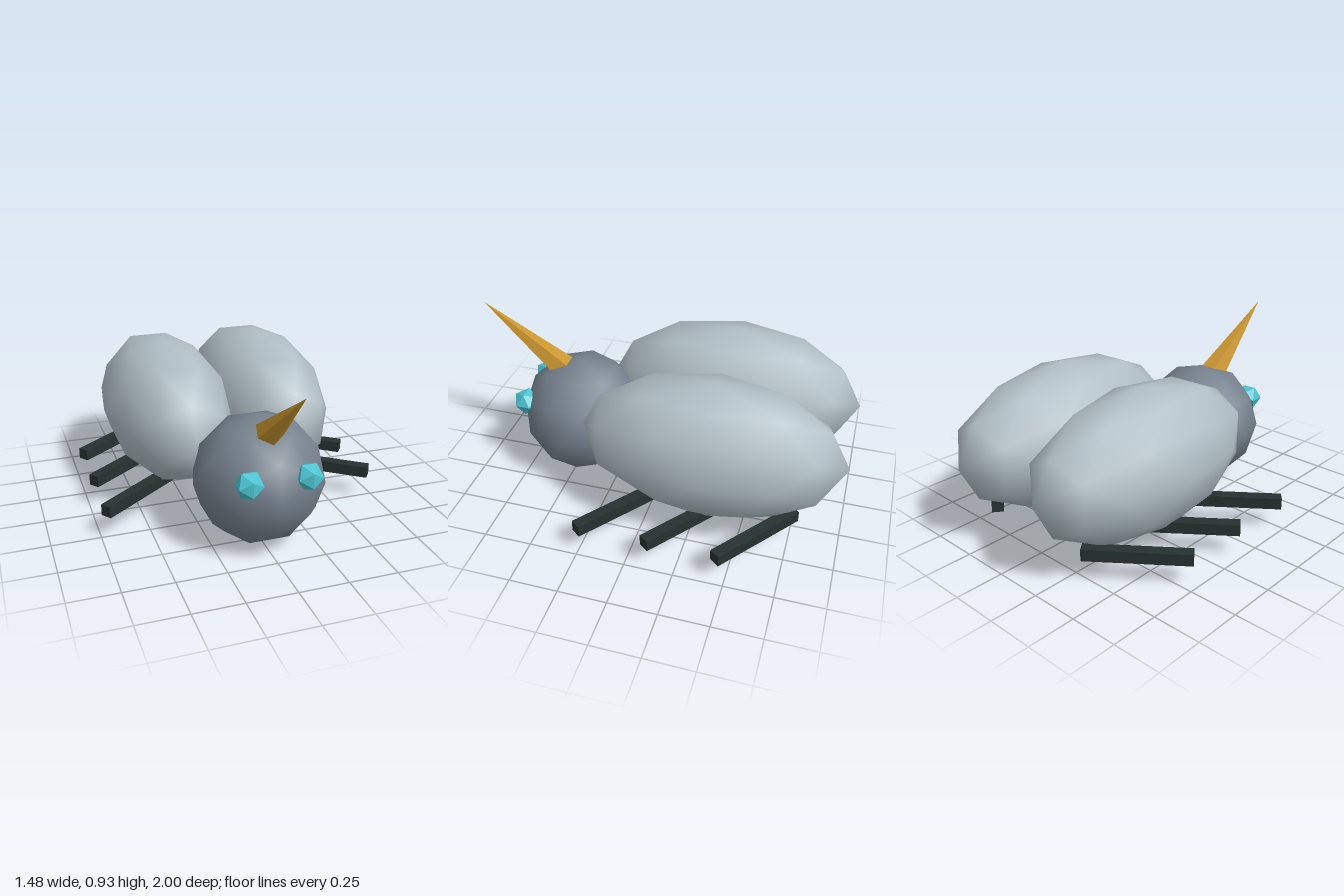
import * as THREE from 'three';

const mat = (name, color, flatShading = false) => {
  const m = new THREE.MeshStandardMaterial({ color, flatShading });
  m.name = name;
  return m;
};

export function createModel() {
  const model = new THREE.Group();
  model.name = 'hornedBug';

  const slate = mat('slateGrey', 0x75818d);
  const pale = mat('paleGrey', 0xb0bec5);
  const dark = mat('darkLeg', 0x263230);
  const gold = mat('goldHorn', 0xc9952f, true);
  const cyan = mat('cyanEye', 0x4cc5d2, true);

  const add = (name, geometry, material, x, y, z) => {
    const mesh = new THREE.Mesh(geometry, material);
    mesh.name = name;
    mesh.position.set(x, y, z);
    model.add(mesh);
    return mesh;
  };

  // Head: once-subdivided icosphere with smooth normals
  add('head', new THREE.IcosahedronGeometry(0.33, 1), slate, 0, 0.331, 0.468);

  // Horn: five-sided cone sunk into the head, leaning forward
  const horn = add('horn', new THREE.ConeGeometry(0.08, 0.6, 5), gold, 0, 0.74, 0.765);
  horn.rotation.x = 0.9;

  for (const [side, s] of [['left', 1], ['right', -1]]) {
    // Wing case: stretched icosphere, meeting its twin in the middle
    const wing = add(side + 'WingCase', new THREE.IcosahedronGeometry(1, 1), pale, s * 0.27, 0.457, -0.317);
    wing.scale.set(0.337, 0.372, 0.683);

    // Eye: plain icosahedron
    add(side + 'Eye', new THREE.IcosahedronGeometry(0.0715, 0), cyan, s * 0.146, 0.433, 0.74);

    // Legs: three bars angled outward and forward
    ['Front', 'Middle', 'Back'].forEach((place, i) => {
      const leg = add(side + place + 'Leg', new THREE.BoxGeometry(0.52, 0.06, 0.06), dark,
        s * 0.515, 0.148, 0.097 - i * 0.352);
      leg.rotation.y = -s * 0.66;
    });
  }

  return model;
}
